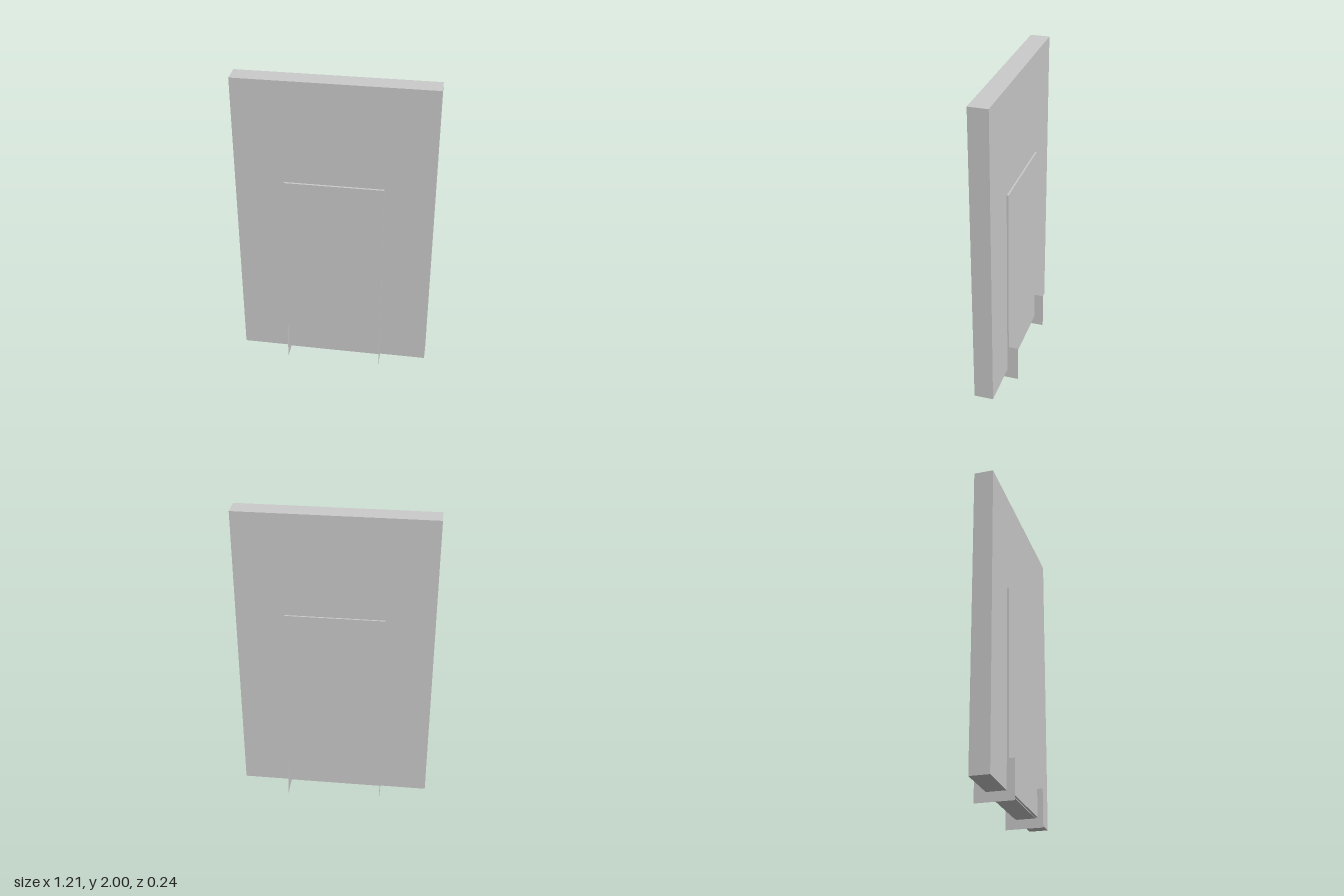
import * as THREE from 'three';

export function createModel() {
  const group = new THREE.Group();
  const material = new THREE.MeshStandardMaterial({ color: 0xcccccc, flatShading: true });
  const sheetMaterial = new THREE.MeshStandardMaterial({ color: 0xcccccc, side: THREE.DoubleSide });

  // Box given by its half width and its y and z ranges
  function slab(name, halfWidth, y0, y1, z0, z1) {
    const mesh = new THREE.Mesh(new THREE.BoxGeometry(2 * halfWidth, y1 - y0, z1 - z0), material);
    mesh.position.set(0, (y0 + y1) / 2, (z0 + z1) / 2);
    mesh.name = name;
    group.add(mesh);
  }

  // Tall main board, and the inset panel standing slightly proud on both faces
  slab('mainBoard', 0.607, 0.06, 2, -0.049, 0.072);
  slab('centrePanel', 0.305, 0.065, 1.34, -0.059, 0.085);

  // Thin upright foot plates crossing the board at the panel's sides
  for (const side of [-1, 1]) {
    const foot = new THREE.Mesh(new THREE.PlaneGeometry(0.24, 0.245), sheetMaterial);
    foot.rotation.y = side * Math.PI / 2;
    foot.position.set(side * 0.306, 0.1225, 0);
    foot.name = side > 0 ? 'leftFoot' : 'rightFoot';
    group.add(foot);
  }

  return group;
}
